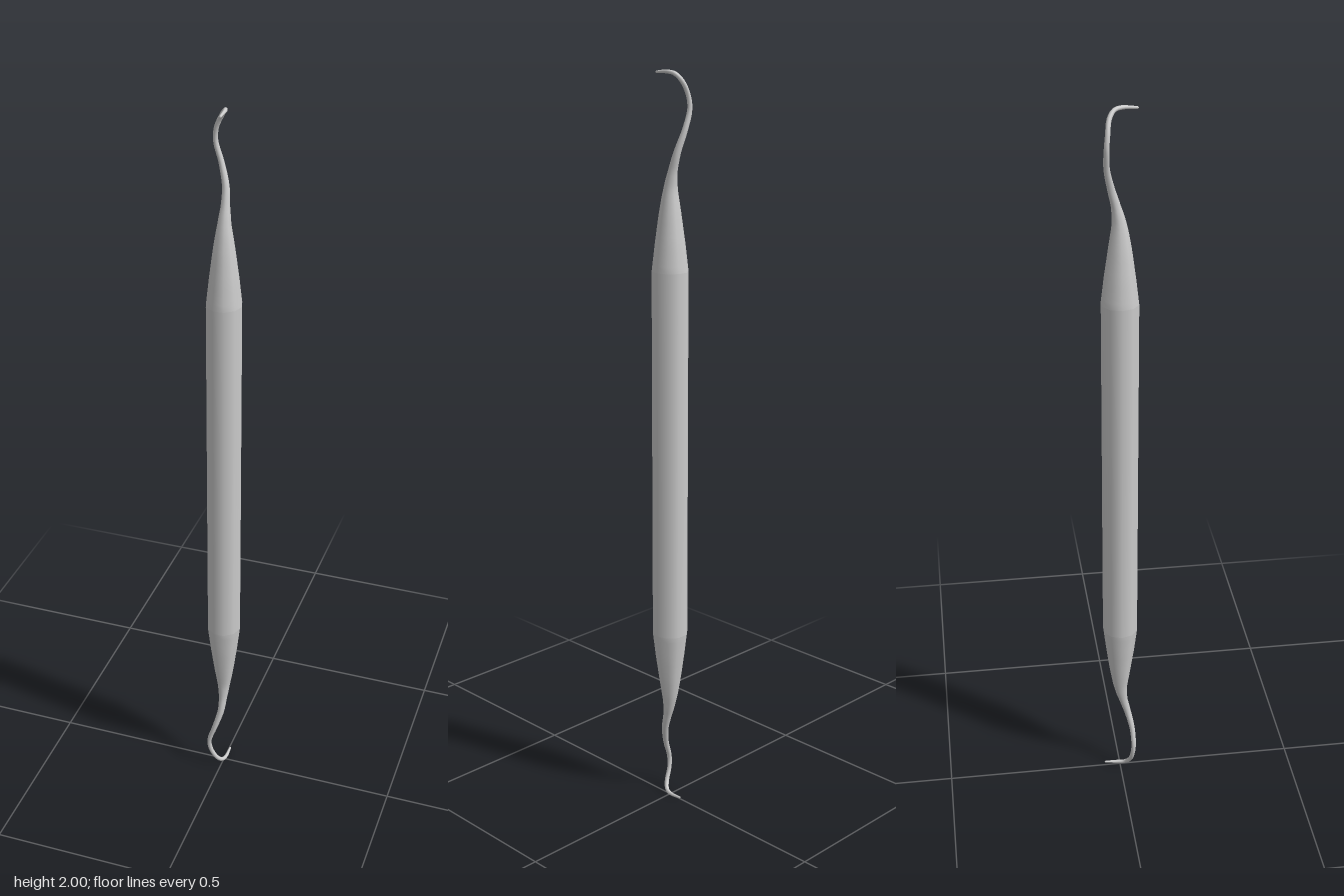
import * as THREE from 'three';

const SIDES = 10;
const DEPTH = 1.04; // handle is slightly deeper than wide

// Centre line and radius, from handle shoulder to tip: x, y, z, radius
const STATIONS = [
  [0, 0.5, 0, 0.047],
  [0, 0.57, 0, 0.039],
  [0, 0.65, 0, 0.028],
  [0, 0.71, -0.002, 0.018],
  [0, 0.755, -0.01, 0.012],
  [-0.003, 0.8, -0.022, 0.0095],
  [-0.018, 0.855, -0.034, 0.0075],
  [-0.033, 0.905, -0.036, 0.0065],
  [-0.03, 0.94, -0.033, 0.006],
  [-0.014, 0.974, -0.027, 0.006],
  [-0.002, 0.991, -0.014, 0.0055],
  [0.004, 0.995, 0.005, 0.005],
  [0.005, 0.993, 0.043, 0.003],
];

// Sweeps a ten-sided section along the stations, without twisting
function sweepGeometry(stations, stepsPer = 4) {
  const curve = new THREE.CatmullRomCurve3(stations.map(s => new THREE.Vector3(s[0], s[1], s[2])));
  const spans = stations.length - 1, rings = spans * stepsPer;
  const pos = [], index = [];
  const normal = new THREE.Vector3(1, 0, 0);
  for (let i = 0; i <= rings; i++) {
    const t = i / rings, u = t * spans, k = Math.min(Math.floor(u), spans - 1);
    const r = THREE.MathUtils.lerp(stations[k][3], stations[k + 1][3], u - k);
    const c = curve.getPoint(t);
    const tan = i === 0 ? new THREE.Vector3(0, 1, 0) : curve.getTangent(t);
    normal.addScaledVector(tan, -normal.dot(tan)).normalize();
    const side = new THREE.Vector3().crossVectors(tan, normal);
    for (let j = 0; j < SIDES; j++) {
      const a = (j / SIDES) * Math.PI * 2;
      const p = c.clone().addScaledVector(normal, r * Math.cos(a)).addScaledVector(side, r * DEPTH * Math.sin(a));
      pos.push(p.x, p.y, p.z);
    }
  }
  for (let i = 0; i < rings; i++) {
    for (let j = 0; j < SIDES; j++) {
      const a = i * SIDES + j, b = i * SIDES + (j + 1) % SIDES;
      index.push(a, b, a + SIDES, b, b + SIDES, a + SIDES);
    }
  }
  // Rounded-off tip
  const end = curve.getPoint(1).addScaledVector(curve.getTangent(1), 0.003);
  const tip = pos.length / 3;
  pos.push(end.x, end.y, end.z);
  for (let j = 0; j < SIDES; j++) index.push(rings * SIDES + j, rings * SIDES + (j + 1) % SIDES, tip);

  const g = new THREE.BufferGeometry();
  g.setAttribute('position', new THREE.Float32BufferAttribute(pos, 3));
  g.setIndex(index);
  g.computeVertexNormals();
  return g;
}

export function createModel() {
  const model = new THREE.Group();
  model.name = 'doubleEndedHookTool';
  const material = new THREE.MeshStandardMaterial({ color: 0xcccccc });

  // Straight ten-sided grip
  const grip = new THREE.CylinderGeometry(0.047, 0.047, 1, SIDES, 1, true, Math.PI / 2);
  grip.scale(1, 1, DEPTH);
  const handle = new THREE.Mesh(grip, material);
  handle.name = 'handle';
  handle.position.y = 1;
  model.add(handle);

  // Tapered neck and hook at both ends, the lower one turned over about x
  const hook = sweepGeometry(STATIONS);
  for (const [name, turn] of [['upperHook', 0], ['lowerHook', Math.PI]]) {
    const mesh = new THREE.Mesh(hook, material);
    mesh.name = name;
    mesh.position.y = 1;
    mesh.rotation.x = turn;
    model.add(mesh);
  }
  return model;
}
